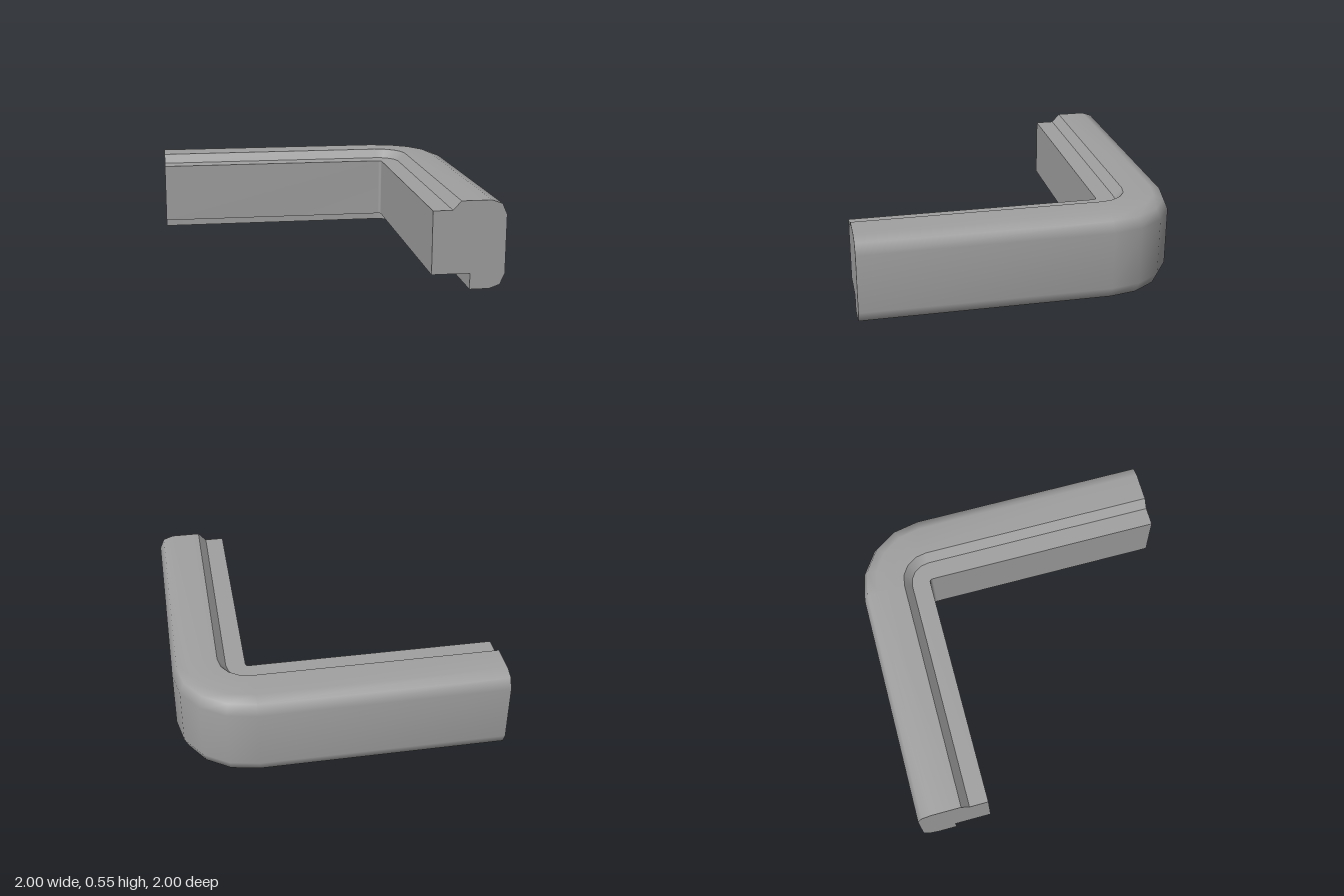
import * as THREE from 'three';

// Corner arc centre (x = C, z = -C) and number of facets round the bend
const C = 0.53, BEND = 4;

// Cross-section as runs of [x, y]; edges are sharp between runs, smooth within one
const runs = {
  innerWall: [[0.55, 0.1], [0.55, 0.49]],
  topLedge: [[0.55, 0.49], [0.67, 0.49]],
  ledgeBevel: [[0.67, 0.49], [0.72, 0.545]],
  outerShell: [[0.72, 0.545], [0.905, 0.545], [0.97, 0.522], [1, 0.455],
    [1, 0.09], [0.97, 0.023], [0.905, 0], [0.785, 0]],
  rebateWall: [[0.785, 0], [0.785, 0.1]],
  rebateSoffit: [[0.785, 0.1], [0.55, 0.1]],
};

// Place one section point at each station: front end, bend, left-hand end
function stations([x, y]) {
  const r = x - C;
  const pts = [[x, y, 1]];
  for (let i = 0; i <= BEND; i++) {
    const a = (i / BEND) * Math.PI / 2;
    pts.push([C + r * Math.cos(a), y, -C - r * Math.sin(a)]);
  }
  pts.push([-1, y, -x]);
  return pts;
}

// Sweep a run along the L-shaped path
function sweep(run) {
  const n = BEND + 3;
  const pos = run.flatMap(p => stations(p).flat());
  const index = [];
  for (let i = 0; i < run.length - 1; i++) {
    for (let j = 0; j < n - 1; j++) {
      const a = i * n + j, b = a + n;
      index.push(a, b, a + 1, b, b + 1, a + 1);
    }
  }
  const g = new THREE.BufferGeometry();
  g.setAttribute('position', new THREE.Float32BufferAttribute(pos, 3));
  g.setIndex(index);
  g.computeVertexNormals();
  return g;
}

export function createModel() {
  const group = new THREE.Group();
  group.name = 'cornerTrim';
  const grey = new THREE.MeshStandardMaterial({ color: 0xa0a0a0 });
  grey.name = 'grey';
  const add = (name, geometry) => {
    const mesh = new THREE.Mesh(geometry, grey);
    mesh.name = name;
    group.add(mesh);
    return mesh;
  };

  for (const [name, run] of Object.entries(runs)) add(name, sweep(run));

  // Flat end faces of the two arms
  const outline = Object.values(runs).flatMap(run => run.slice(0, -1));
  const cap = sign => new THREE.ShapeGeometry(
    new THREE.Shape(outline.map(([x, y]) => new THREE.Vector2(sign * x, y))));
  add('frontEnd', cap(1)).position.z = 1;
  const side = add('sideEnd', cap(-1));
  side.rotation.y = -Math.PI / 2;
  side.position.x = -1;

  return group;
}
